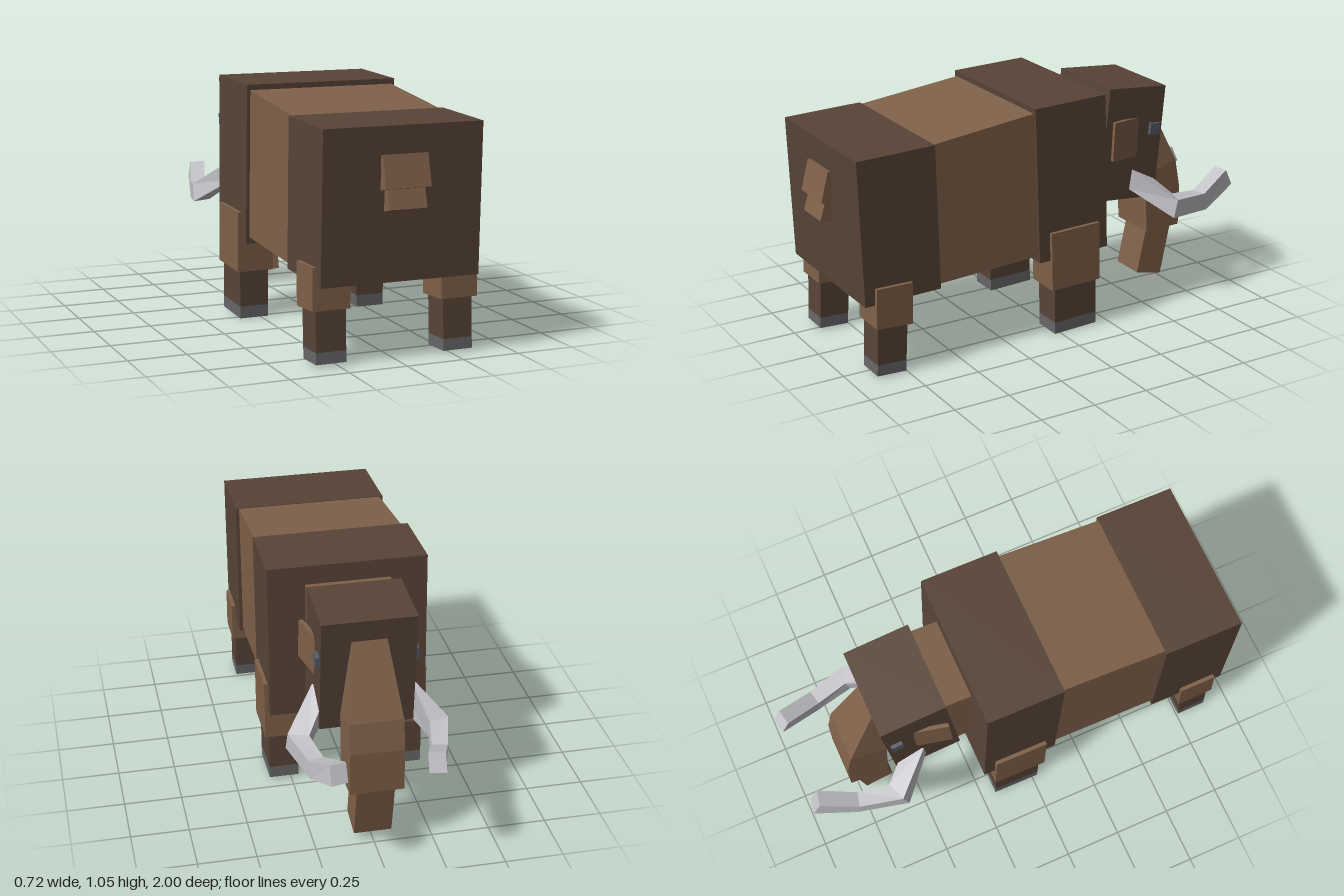
import * as THREE from 'three';

const mat = (name, color) => {
  const m = new THREE.MeshStandardMaterial({ color });
  m.name = name;
  return m;
};

// Flat-shaded solid through rings of [x, y, z] corners, closed at both ends
function loft(rings) {
  const tris = [];
  const n = rings[0].length;
  for (let r = 0; r < rings.length - 1; r++) {
    for (let i = 0; i < n; i++) {
      const j = (i + 1) % n;
      const [a, b, c, d] = [rings[r][i], rings[r][j], rings[r + 1][j], rings[r + 1][i]];
      tris.push([a, b, c], [a, c, d]);
    }
  }
  const first = rings[0], last = rings[rings.length - 1];
  for (let i = 1; i < n - 1; i++) {
    tris.push([first[0], first[i + 1], first[i]], [last[0], last[i], last[i + 1]]);
  }
  // Turn the faces outward when the signed volume is negative
  let volume = 0;
  for (const [a, b, c] of tris) {
    volume += new THREE.Vector3(...a).dot(new THREE.Vector3(...b).cross(new THREE.Vector3(...c)));
  }
  if (volume < 0) tris.forEach((t) => t.reverse());
  const g = new THREE.BufferGeometry();
  g.setAttribute('position', new THREE.Float32BufferAttribute(tris.flat(2), 3));
  g.computeVertexNormals();
  return g;
}

// Side outline of [z, y, optional width factor] spanned from x0 to x1
const slab = (outline, x0, x1) =>
  loft([x0, x1].map((x) => outline.map(([z, y, w = 1]) => [x * w, y, z])));

export function createModel() {
  const root = new THREE.Group();
  root.name = 'elephant';

  const darkHide = mat('darkHide', 0x584437);
  const lightHide = mat('lightHide', 0x7f614a);
  const hoofGrey = mat('hoofGrey', 0x67676a);
  const ivory = mat('ivory', 0xc4c3c8);
  const eyeGrey = mat('eyeGrey', 0x565d68);

  const add = (name, material, geometry) => {
    const mesh = new THREE.Mesh(geometry, material);
    mesh.name = name;
    root.add(mesh);
  };
  const centred = (name, material, half, outline) => add(name, material, slab(outline, -half, half));

  // Body
  centred('hindquarters', darkHide, 0.345, [[0.955, 0.957], [0.603, 0.968], [0.587, 0.34], [0.935, 0.33]]);
  centred('belly', lightHide, 0.33, [[0.62, 0.963], [0.11, 1.022], [0.11, 0.378], [0.6, 0.354]]);
  centred('shoulders', darkHide, 0.345, [[0.13, 1.043], [-0.217, 1.053], [-0.238, 0.36], [0.105, 0.35]]);
  centred('neck', lightHide, 0.183, [[-0.2, 0.968], [-0.36, 0.982], [-0.34, 0.522], [-0.2, 0.535]]);
  centred('head', darkHide, 0.2, [[-0.34, 1.02], [-0.634, 0.995], [-0.587, 0.485], [-0.29, 0.51]]);

  // Trunk
  centred('upperTrunk', lightHide, 0.115,
    [[-0.622, 0.91, 0.64], [-0.765, 0.6], [-0.6, 0.55], [-0.58, 0.85, 0.64]]);
  centred('middleTrunk', lightHide, 0.115,
    [[-0.765, 0.6], [-0.79, 0.47], [-0.79, 0.28], [-0.613, 0.275], [-0.6, 0.56]]);
  centred('trunkTip', lightHide, 0.081, [[-0.775, 0.3], [-0.72, 0.035], [-0.59, 0.065], [-0.64, 0.3]]);

  // Tail
  centred('upperTail', lightHide, 0.098, [[0.966, 0.846], [1.0, 0.715], [0.945, 0.702], [0.915, 0.835]]);
  centred('tailTip', lightHide, 0.081, [[0.975, 0.712], [1.0, 0.632], [0.942, 0.617], [0.92, 0.7]]);

  for (const s of [1, -1]) {
    const side = s > 0 ? 'left' : 'right';
    const paired = (name, material, x0, x1, outline) =>
      add(side + name, material, slab(outline, s * x0, s * x1));
    const mirror = (ring) => ring.map(([x, y, z]) => [s * x, y, z]);

    // Hind leg
    paired('HindThigh', lightHide, 0.2, 0.362, [[0.89, 0.405], [0.725, 0.403], [0.73, 0.22], [0.895, 0.23]]);
    paired('HindShin', darkHide, 0.215, 0.345, [[0.88, 0.25], [0.745, 0.245], [0.755, 0.055], [0.888, 0.06]]);
    paired('HindHoof', hoofGrey, 0.215, 0.345, [[0.888, 0.06], [0.755, 0.055], [0.757, 0.006], [0.89, 0.012]]);

    // Front leg
    paired('FrontThigh', lightHide, 0.2, 0.362, [[0.056, 0.48], [-0.185, 0.487], [-0.192, 0.222], [0.05, 0.215]]);
    paired('FrontShin', darkHide, 0.215, 0.345, [[0.03, 0.24], [-0.18, 0.245], [-0.184, 0.06], [0.027, 0.053]]);
    paired('FrontHoof', hoofGrey, 0.215, 0.345, [[0.027, 0.053], [-0.184, 0.06], [-0.186, 0.008], [0.026, 0]]);

    // Ear, flaring away from the head toward the back
    const earOutline = [[-0.345, 0.875], [-0.5, 0.868], [-0.485, 0.69], [-0.335, 0.7]];
    add(side + 'Ear', lightHide, loft([0, -0.018].map((t) =>
      mirror(earOutline.map(([z, y]) => [0.203 + (z + 0.48) * 0.25 + t, y, z])))));

    paired('Eye', eyeGrey, 0.19, 0.216, [[-0.55, 0.835], [-0.6, 0.83], [-0.596, 0.78], [-0.546, 0.785]]);

    // Tusk: root, elbow, bend, tip
    add(side + 'Tusk', ivory, loft([
      [[0.205, 0.63, -0.46], [0.15, 0.63, -0.52], [0.14, 0.54, -0.5], [0.2, 0.54, -0.45]],
      [[0.34, 0.5, -0.62], [0.255, 0.5, -0.65], [0.255, 0.42, -0.63], [0.345, 0.42, -0.597]],
      [[0.29, 0.48, -0.805], [0.225, 0.48, -0.79], [0.225, 0.4, -0.8], [0.285, 0.4, -0.82]],
      [[0.237, 0.55, -0.965], [0.167, 0.55, -0.95], [0.165, 0.475, -0.985], [0.235, 0.475, -1]],
    ].map(mirror)));
  }

  return root;
}
